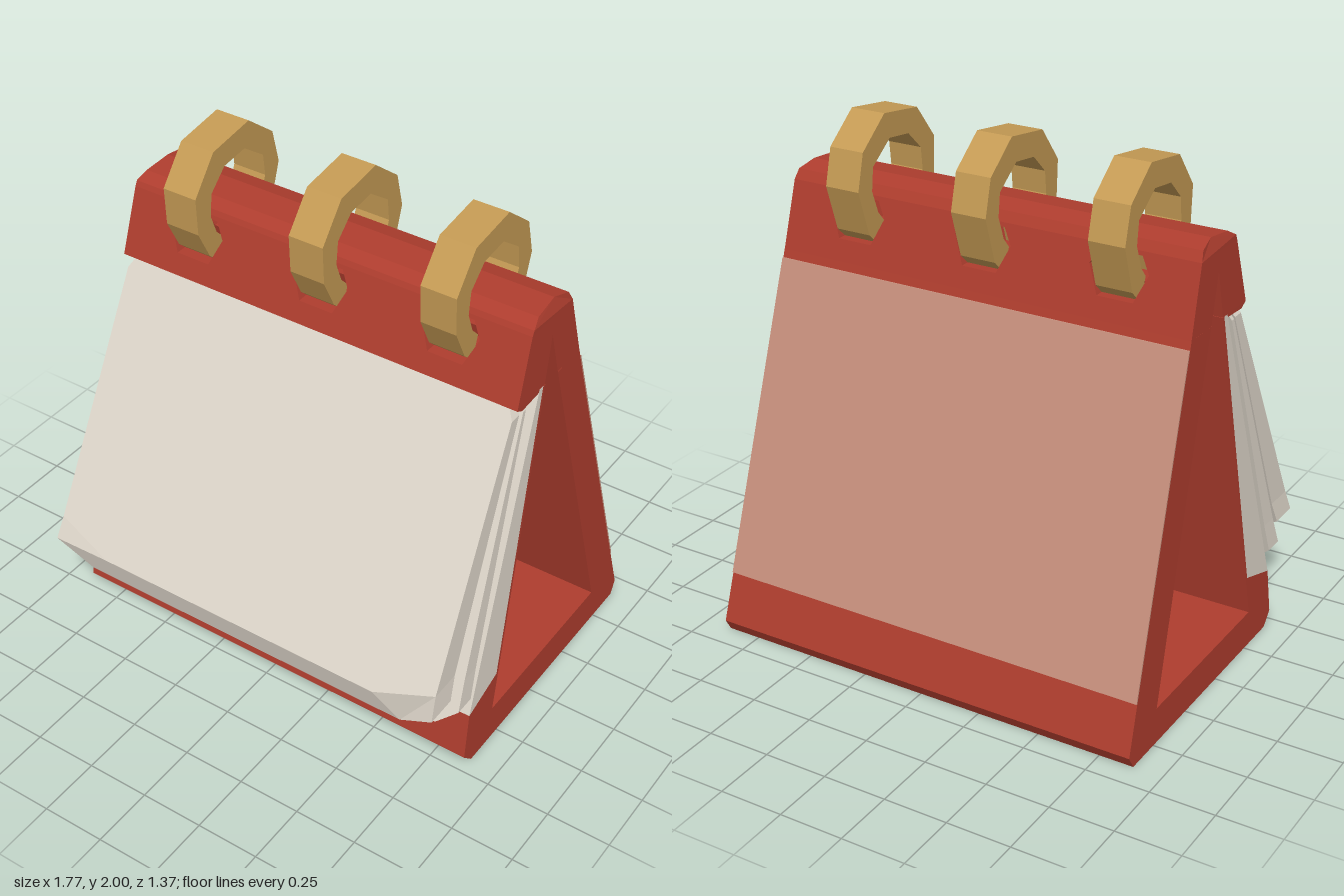
import * as THREE from 'three';

const mat = (name, color) => new THREE.MeshStandardMaterial({ name, color });

const toShape = pts => new THREE.Shape(pts.map(p => new THREE.Vector2(p[0], p[1])));
const extrude = (shape, depth) => new THREE.ExtrudeGeometry(shape, { depth, bevelEnabled: false });

// straight line z(y) through two [z, y] points
const line = ([z0, y0], [z1, y1]) => y => z0 + (z1 - z0) * (y - y0) / (y1 - y0);

// mirrors the right half of an outline to make a closed one
const mirrored = half => [...half, ...half.slice().reverse().map(([x, y]) => [-x, y])];

// half width of the stand, narrowing upwards
const halfWidth = y => 0.885 - 0.026 * y;

// side profile of [z, y] points stretched across x
function profile(pts, half) {
  const g = extrude(toShape(pts.map(([z, y]) => [-z, y])), 2);
  g.translate(0, 0, -1).rotateY(Math.PI / 2);
  const p = g.attributes.position;
  for (let i = 0; i < p.count; i++) p.setX(i, p.getX(i) * half(p.getY(i)));
  g.computeVertexNormals();
  return g;
}

// outline in x, y whose front and back follow sloping lines z(y)
function slab(pts, front, back, holes = []) {
  const shape = toShape(pts);
  for (const h of holes) shape.holes.push(new THREE.Path(h.map(q => new THREE.Vector2(q[0], q[1]))));
  const g = extrude(shape, 1);
  const p = g.attributes.position;
  for (let i = 0; i < p.count; i++) {
    const y = p.getY(i);
    p.setZ(i, p.getZ(i) > 0.5 ? front(y) : back(y));
  }
  g.computeVertexNormals();
  return g;
}

export function createModel() {
  const red = mat('red board', 0xae3d2e);
  const cream = mat('cream paper', 0xdfd7cb);
  const pink = mat('faded pink panel', 0xc68f7c);
  const gold = mat('brass', 0xc49a54);

  const model = new THREE.Group();
  const add = (name, geometry, material, parent = model) => {
    const m = new THREE.Mesh(geometry, material);
    m.name = name;
    parent.add(m);
    return m;
  };

  // stand: back leg, base and thin inner front leg
  add('standFrame', profile([
    [-0.242, 1.45], [-0.68, 0.05], [-0.65, 0], [0.43, 0], [0.48, 0.05], [0.45, 0.24],
    [0.262, 0.3], [0.01, 1.45], [-0.003, 1.45], [0.285, 0.14], [-0.475, 0.14], [-0.09, 1.45],
  ], halfWidth), red);

  // sheets resting against the front leg
  add('restingSheets', profile([
    [0.45, 0.24], [0.262, 0.3], [0.01, 1.45], [0.035, 1.45],
  ], halfWidth), cream);

  // panel on the back
  const backLine = line([-0.68, 0.05], [-0.242, 1.45]);
  add('backPanel', slab(
    mirrored([[halfWidth(0.24), 0.24], [halfWidth(1.42), 1.42]]),
    y => backLine(y) + 0.001, y => backLine(y) - 0.006,
  ), pink);

  // header walls with holes for the rings
  const ringX = [-0.54, 0.005, 0.54];
  const holes = ringX.map(c => mirrored([[0.07, 1.53], [0.115, 1.63], [0.08, 1.69]])
    .map(([x, y]) => [x + c, y]));
  const wall = mirrored([[0.847, 1.45], [0.84, 1.705]]);
  add('headerFront', slab(wall, line([0.183, 1.45], [0.1, 1.705]), line([0, 1.45], [-0.055, 1.705]), holes), red);
  add('headerBack', slab(wall, line([-0.09, 1.45], [-0.02, 1.705]), line([-0.242, 1.45], [-0.17, 1.705]), holes), red);
  add('headerLip', profile([[0.183, 1.45], [0.15, 1.432], [0.01, 1.44], [0.01, 1.45]], () => 0.847), red);
  add('headerCap', profile([
    [0.1, 1.705], [0.09, 1.725], [0.045, 1.75], [-0.07, 1.762], [-0.15, 1.742], [-0.17, 1.705],
  ], y => 0.84 - Math.max(0, y - 1.73) * 0.6), red);

  // hanging front page with its turned-under lower edge
  const pageFront = line([0.165, 1.44], [0.687, 0.41]);
  const lipFront = line([0.687, 0.41], [0.655, 0.3]);
  const pageBack = line([0.12, 1.44], [0.6, 0.3]);
  const front = y => Math.min(pageFront(y), lipFront(y));
  add('frontPage', slab(mirrored([
    [0.61, 0.41], [0.85, 0.49], [0.83, 1.4], [0.8, 1.45],
  ]), pageFront, pageBack), cream);
  add('frontPageEdge', slab(mirrored([
    [0.71, 0.3], [0.86, 0.4], [0.85, 0.49], [0.61, 0.41],
  ]), front, pageBack), cream);

  // second page behind it
  add('secondPage', slab(mirrored([
    [0.8, 0.26], [0.88, 0.33], [0.872, 0.45], [0.835, 1.4], [0.81, 1.45],
  ]), line([0.1, 1.45], [0.56, 0.26]), line([0.085, 1.45], [0.472, 0.26])), cream);

  // open binding rings, ends tucked into the header holes
  const outer = [
    [0.09, 1.51], [0.145, 1.56], [0.205, 1.68], [0.212, 1.83], [0.1, 1.97],
    [-0.11, 2], [-0.25, 1.89], [-0.285, 1.75], [-0.225, 1.57], [-0.16, 1.51],
  ];
  const inner = [
    [-0.13, 1.6], [-0.165, 1.64], [-0.2, 1.73], [-0.19, 1.82], [-0.08, 1.9],
    [0.04, 1.885], [0.12, 1.81], [0.13, 1.72], [0.1, 1.64], [0.06, 1.6],
  ];
  const ringGeometry = profile([...outer, ...inner], () => 0.071);
  const rings = new THREE.Group();
  rings.name = 'bindingRings';
  for (const x of ringX) add('ring', ringGeometry, gold, rings).position.x = x;
  model.add(rings);

  return model;
}
